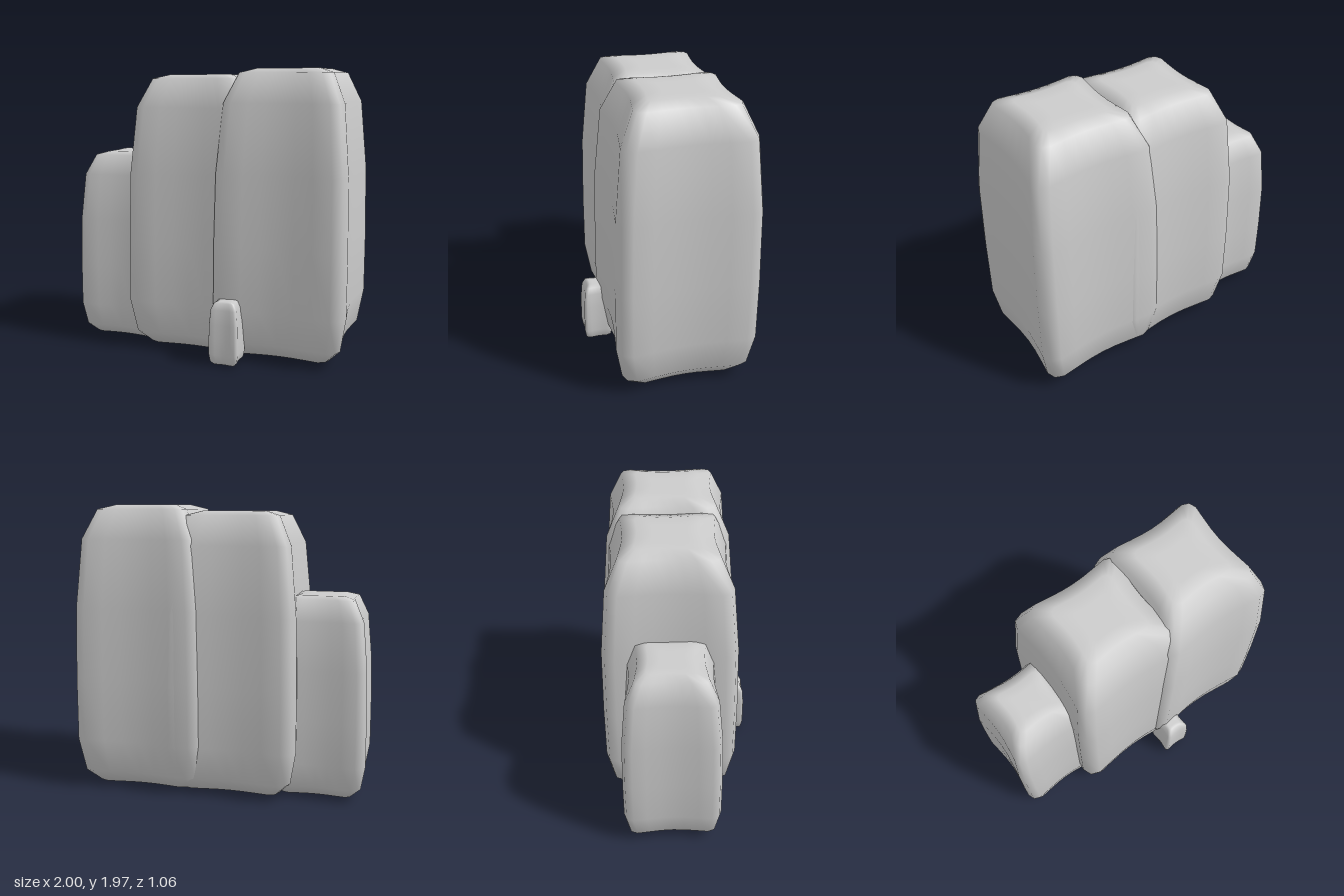
import * as THREE from 'three';

// Quarter of the pinched-square outline (sides bow inwards, corners rounded)
const quarter = [[0.925, 0], [0.935, 0.25], [0.965, 0.52], [1, 0.8], [0.945, 0.945], [0.8, 1], [0.52, 0.965], [0.25, 0.935]];

// Outline scale at each fraction of the height, from base to top
const profile = [
  [0, 0], [0.25, 0], [0.5, 0], [0.73, 0.01], [0.915, 0.06], [1, 0.18], [0.995, 0.4],
  [0.97, 0.65], [0.88, 0.885], [0.69, 0.985], [0.47, 1], [0.25, 1], [0, 1],
];

// Full outline: the quarter turned four times
const outline = [];
for (let k = 0; k < 4; k++) {
  for (const [a, b] of quarter) {
    outline.push([[a, b], [-b, a], [-a, -b], [b, -a]][k]);
  }
}

// Soft pillow-like block standing on the ground
function softBlock(name, x, z, halfX, halfZ, height) {
  const n = outline.length;
  const positions = [];
  const index = [];
  for (const [s, t] of profile) {
    for (const [u, v] of outline) positions.push(u * s * halfX, t * height, v * s * halfZ);
  }
  for (let i = 0; i < profile.length - 1; i++) {
    for (let j = 0; j < n; j++) {
      const a = i * n + j;
      const b = i * n + ((j + 1) % n);
      // the first and last bands close to a point
      if (i < profile.length - 2) index.push(a, a + n, b + n);
      else index.push(a, a + n, b);
      if (i > 0 && i < profile.length - 2) index.push(a, b + n, b);
    }
  }
  const geometry = new THREE.BufferGeometry();
  geometry.setAttribute('position', new THREE.Float32BufferAttribute(positions, 3));
  geometry.setIndex(index);
  geometry.computeVertexNormals();
  const mesh = new THREE.Mesh(geometry, new THREE.MeshStandardMaterial({ color: 0xcccccc }));
  mesh.name = name;
  mesh.position.set(x, 0, z);
  return mesh;
}

export function createModel() {
  const group = new THREE.Group();
  group.name = 'stackedBlocks';
  group.add(
    softBlock('tallBlock', 0.54, -0.057, 0.46, 0.474, 1.965),
    softBlock('middleBlock', -0.083, -0.06, 0.466, 0.462, 1.925),
    softBlock('lowBlock', -0.67, -0.06, 0.33, 0.33, 1.37),
    softBlock('smallFrontBlock', 0.217, 0.43, 0.102, 0.1, 0.435),
  );
  return group;
}
